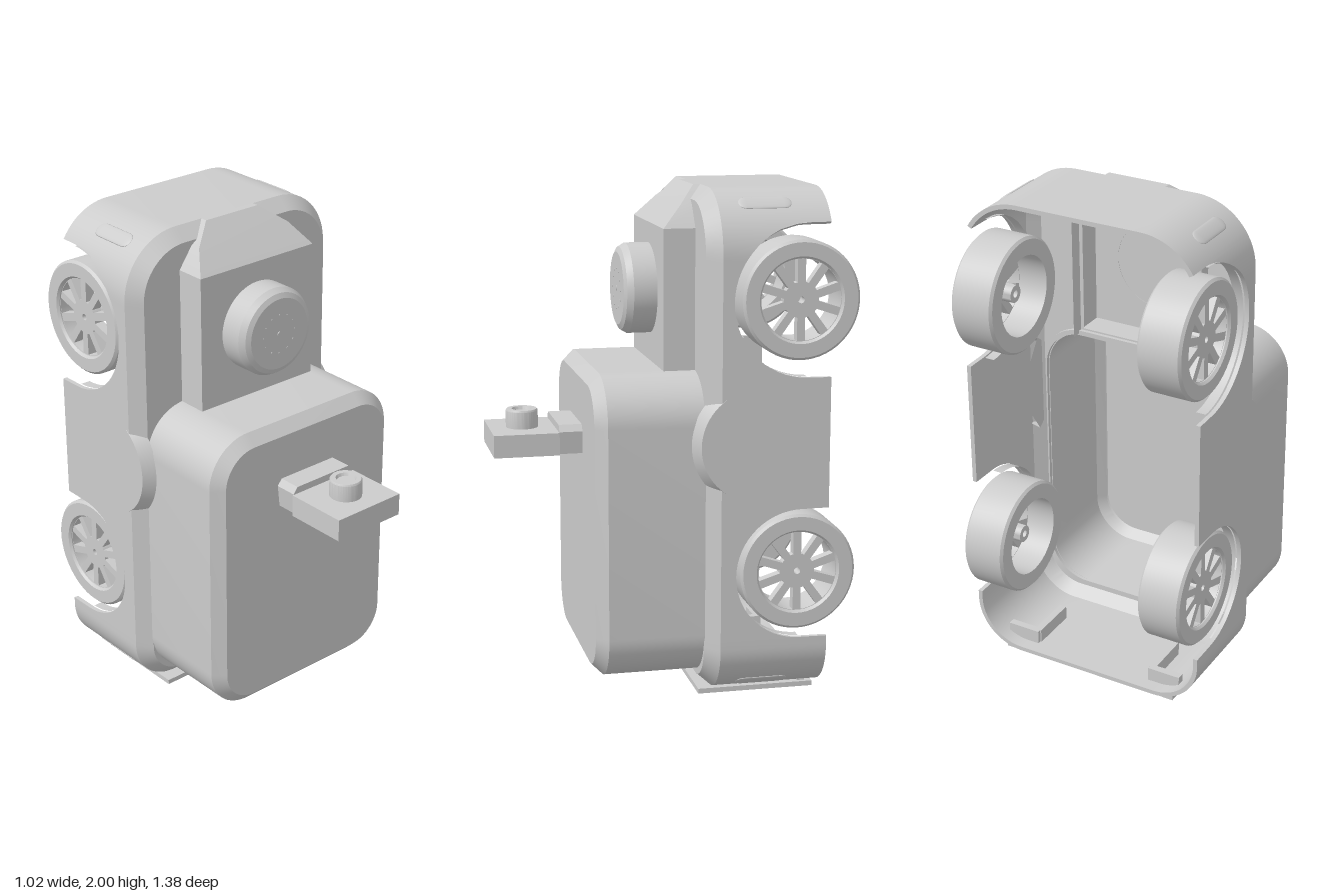
import * as THREE from 'three';
import { toCreasedNormals } from 'three/addons/utils/BufferGeometryUtils.js';

const mat = new THREE.MeshStandardMaterial({ color: 0xcccccc, side: THREE.DoubleSide });
const ARCHES = [{ y: 0.51, z: -0.46, r: 0.26 }, { y: 1.583, z: -0.48, r: 0.295 }];
const WHEEL_Z = -0.457;
const rad = THREE.MathUtils.degToRad;

function add(parent, name, geo, x = 0, y = 0, z = 0) {
  const mesh = new THREE.Mesh(geo, mat);
  mesh.name = name;
  mesh.position.set(x, y, z);
  parent.add(mesh);
  return mesh;
}

// Rounded outline, counter-clockwise from the front; points carry normals for insetting
function outline(w, y0, y1, rLow, rHigh, sideYs = [], extraAngles = []) {
  const right = [];
  const arc = (cx, cy, r, angles) => angles.forEach(a => {
    const nx = Math.cos(rad(a)), ny = Math.sin(rad(a));
    right.push({ x: cx + r * nx, y: cy + r * ny, nx, ny });
  });
  const steps = Array.from({ length: 19 }, (_, i) => i * 5);
  arc(w - rLow, y0 + rLow, rLow, steps.map(a => a - 90));
  sideYs.filter(y => y > y0 + rLow && y < y1 - rHigh).sort((a, b) => a - b)
    .forEach(y => right.push({ x: w, y, nx: 1, ny: 0 }));
  arc(w - rHigh, y1 - rHigh, rHigh, [...steps, ...extraAngles].sort((a, b) => a - b));
  const left = right.map(p => ({ ...p, x: -p.x, nx: -p.nx })).reverse();
  return [...right, ...left];
}

// Skin between insets of one outline; z is a number or a function of height
function loft(points, rings) {
  const pos = [], idx = [], n = points.length;
  for (const [inset, z] of rings)
    for (const p of points)
      pos.push(p.x - p.nx * inset, p.y - p.ny * inset, typeof z === 'function' ? z(p.y) : z);
  for (let k = 0; k < rings.length - 1; k++)
    for (let i = 0; i < n; i++) {
      const a = k * n + i, b = k * n + (i + 1) % n, c = a + n, d = b + n;
      idx.push(a, c, b, b, c, d);
    }
  const g = new THREE.BufferGeometry();
  g.setAttribute('position', new THREE.Float32BufferAttribute(pos, 3));
  g.setIndex(idx);
  return toCreasedNormals(g, rad(28));
}

const inset = (points, d) => points.map(p => new THREE.Vector2(p.x - p.nx * d, p.y - p.ny * d));

function addBody(g) {
  // Side wall ends in a circular cut above each wheel
  const rear = y => {
    for (const a of ARCHES) {
      const d = Math.abs(y - a.y);
      if (d <= a.r) return a.z + Math.sqrt(Math.max(0, a.r * a.r - d * d));
    }
    return -0.57;
  };
  const ys = [];
  for (const a of ARCHES) {
    for (let t = -90; t <= 90; t += 6) ys.push(a.y + a.r * 0.9999 * Math.sin(rad(t)));
    ys.push(a.y - a.r - 0.001, a.y + a.r + 0.001);
  }
  const top = ARCHES[1].y + ARCHES[1].r;
  const angle = THREE.MathUtils.radToDeg(Math.asin((top - 1.75) / 0.25));
  const pts = outline(0.51, 0.015, 2, 0.2, 0.25, ys, [angle - 0.05, angle + 0.2]);
  add(g, 'bodyShell', loft(pts, [[0.05, -0.085], [0, -0.14], [0, rear], [0.018, rear], [0.018, -0.145], [0.06, -0.1]]));

  // Front plate, open behind the hood and the tower
  const plate = new THREE.Shape(inset(pts, 0.05));
  plate.holes.push(new THREE.Path(inset(outline(0.44, 0.1, 1.27, 0.17, 0.17), 0)));
  plate.holes.push(new THREE.Path([[-0.27, 1.3], [0.27, 1.3], [0.27, 1.84], [0.2, 1.92], [-0.2, 1.92], [-0.27, 1.84]]
    .map(p => new THREE.Vector2(...p))));
  add(g, 'frontPlate', new THREE.ShapeGeometry(plate), 0, 0, -0.085);
  add(g, 'bottomPanel', new THREE.BoxGeometry(0.78, 0.02, 0.47), 0, 0.01, -0.315);
  add(g, 'innerDisc', new THREE.CylinderGeometry(0.14, 0.14, 0.01, 40), 0, 1.977, -0.36);

  for (const s of [1, -1]) {
    // Arch lips
    for (const a of ARCHES) {
      const lip = new THREE.CylinderGeometry(a.r, a.r, 0.04, 40, 1, true, -Math.PI / 2, Math.PI).rotateZ(-Math.PI / 2);
      add(g, 'archLip', lip, s * 0.465, a.y, a.z);
    }
    // Rounded side bulge reaching on to the hood
    const bulge = new THREE.CylinderGeometry(0.22, 0.25, 0.052, 32, 1, false, -0.98, 1.96).rotateZ(-s * Math.PI / 2);
    add(g, 'sideBulge', bulge, s * 0.485, 1.03, -0.28);
    // Pill-shaped lamps on the corners
    for (const [cx, cy, r, a] of [[0.26, 1.75, 0.25, 53], [0.31, 0.215, 0.2, -53]]) {
      const t = rad(s > 0 ? a : 180 - a);
      const pill = new THREE.CapsuleGeometry(0.032, 0.145, 6, 16).scale(0.18, 1, 1).rotateX(Math.PI / 2).rotateZ(t);
      add(g, 'cornerLamp', pill, s * (cx + (r - 0.001) * Math.abs(Math.cos(t))), cy + (r - 0.001) * Math.sin(t), -0.325);
    }
    // Inner brackets at the bottom end
    add(g, 'bracket', new THREE.BoxGeometry(0.14, 0.06, 0.03), s * 0.33, 0.06, -0.5);
    add(g, 'bracket', new THREE.BoxGeometry(0.03, 0.06, 0.2), s * 0.27, 0.06, -0.4);
  }
}

function addHood(g) {
  const pts = outline(0.463, 0.08, 1.293, 0.19, 0.19);
  add(g, 'hood', loft(pts, [[0.045, 0.338], [0, 0.293], [0, -0.1], [0.02, -0.1], [0.02, 0.285], [0.05, 0.32]]));
  add(g, 'hoodFace', new THREE.ShapeGeometry(new THREE.Shape(inset(pts, 0.045))), 0, 0, 0.338);
}

function addTower(g) {
  // Levels: height, half width, front z
  const levels = [[1.28, 0.285, 0.04], [1.845, 0.285, 0.04], [1.93, 0.225, -0.04], [2, 0.13, -0.112]];
  const pos = [], idx = [];
  for (const [y, w, z] of levels) pos.push(w, y, -0.14, w, y, z, -w, y, z, -w, y, -0.14);
  for (let k = 0; k < 3; k++)
    for (let i = 0; i < 3; i++) {
      const a = k * 4 + i;
      idx.push(a, a + 4, a + 1, a + 1, a + 4, a + 5);
    }
  idx.push(12, 15, 13, 13, 15, 14);
  const geo = new THREE.BufferGeometry();
  geo.setAttribute('position', new THREE.Float32BufferAttribute(pos, 3));
  geo.setIndex(idx);
  add(g, 'tower', toCreasedNormals(geo, rad(20)));

  // Round knob on the tower
  const profile = [[0, 0.13], [0.145, 0.13], [0.165, 0.12], [0.18, 0.095], [0.18, 0]].map(p => new THREE.Vector2(...p));
  const knob = toCreasedNormals(new THREE.LatheGeometry(profile.reverse(), 56).rotateX(Math.PI / 2), rad(25));
  add(g, 'knob', knob, 0, 1.583, 0.038);
  add(g, 'knobCentre', new THREE.CylinderGeometry(0.01, 0.01, 0.006, 16).rotateX(Math.PI / 2), 0, 1.583, 0.168);
  for (let i = 0; i < 12; i++) {
    const a = i / 12 * Math.PI * 2;
    add(g, 'knobDot', new THREE.CylinderGeometry(0.004, 0.004, 0.004, 8).rotateX(Math.PI / 2),
      0.08 * Math.cos(a), 1.583 + 0.08 * Math.sin(a), 0.168);
  }
}

function addHitch(g) {
  // Neck with bevelled upper edges, block and pin
  const s = new THREE.Shape([[-0.145, 0.95], [0.145, 0.95], [0.155, 1.04], [0.135, 1.066], [-0.135, 1.066], [-0.155, 1.04]]
    .map(p => new THREE.Vector2(...p)));
  add(g, 'hitchNeck', new THREE.ExtrudeGeometry(s, { depth: 0.1, bevelEnabled: false }), 0, 0, 0.33);
  add(g, 'hitchBlock', new THREE.BoxGeometry(0.32, 0.09, 0.26), 0, 0.993, 0.56);
  const pin = [[0, 1.1], [0.035, 1.1], [0.04, 1.112], [0.06, 1.112], [0.064, 1.105], [0.064, 1.03]].map(p => new THREE.Vector2(...p));
  add(g, 'hitchPin', toCreasedNormals(new THREE.LatheGeometry(pin.reverse(), 40), rad(30)), 0, 0, 0.557);
}

// Wheel with its axis along x, outer face at +x
function makeWheel() {
  const w = new THREE.Group();
  w.name = 'wheel';
  const tyre = [[0.16, -0.09], [0.222, -0.09], [0.232, -0.08], [0.232, 0.08], [0.222, 0.09], [0.168, 0.09], [0.16, 0.08], [0.16, -0.09]]
    .map(p => new THREE.Vector2(...p));
  add(w, 'tyre', toCreasedNormals(new THREE.LatheGeometry(tyre, 56).rotateZ(-Math.PI / 2), rad(30)));
  const disc = new THREE.Shape().absarc(0, 0, 0.164, 0, Math.PI * 2);
  disc.holes.push(new THREE.Path().absarc(0, 0, 0.013, 0, Math.PI * 2, true));
  const count = 10;
  for (let i = 0; i < count; i++) {
    const a = Math.PI / 2 + (i + 0.5) / count * Math.PI * 2;
    const hole = new THREE.Path();
    hole.absarc(0, 0, 0.158, a - 0.21, a + 0.21, false);
    hole.absarc(0, 0, 0.07, a + 0.09, a - 0.09, true);
    hole.closePath();
    disc.holes.push(hole);
  }
  const spokes = new THREE.ExtrudeGeometry(disc, { depth: 0.04, bevelEnabled: false, curveSegments: 24 }).rotateY(Math.PI / 2);
  add(w, 'spokes', spokes, 0.035);
  const hub = [[0.014, -0.05], [0.035, -0.05], [0.035, 0.04]].map(p => new THREE.Vector2(...p));
  add(w, 'hub', toCreasedNormals(new THREE.LatheGeometry(hub, 24).rotateZ(-Math.PI / 2), rad(30)));
  return w;
}

export function createModel() {
  const g = new THREE.Group();
  addBody(g);
  addHood(g);
  addTower(g);
  addHitch(g);
  for (const s of [1, -1])
    for (const a of ARCHES) {
      const wheel = makeWheel();
      wheel.position.set(s * 0.397, a.y, WHEEL_Z);
      if (s < 0) wheel.rotation.y = Math.PI;
      g.add(wheel);
    }
  return g;
}
